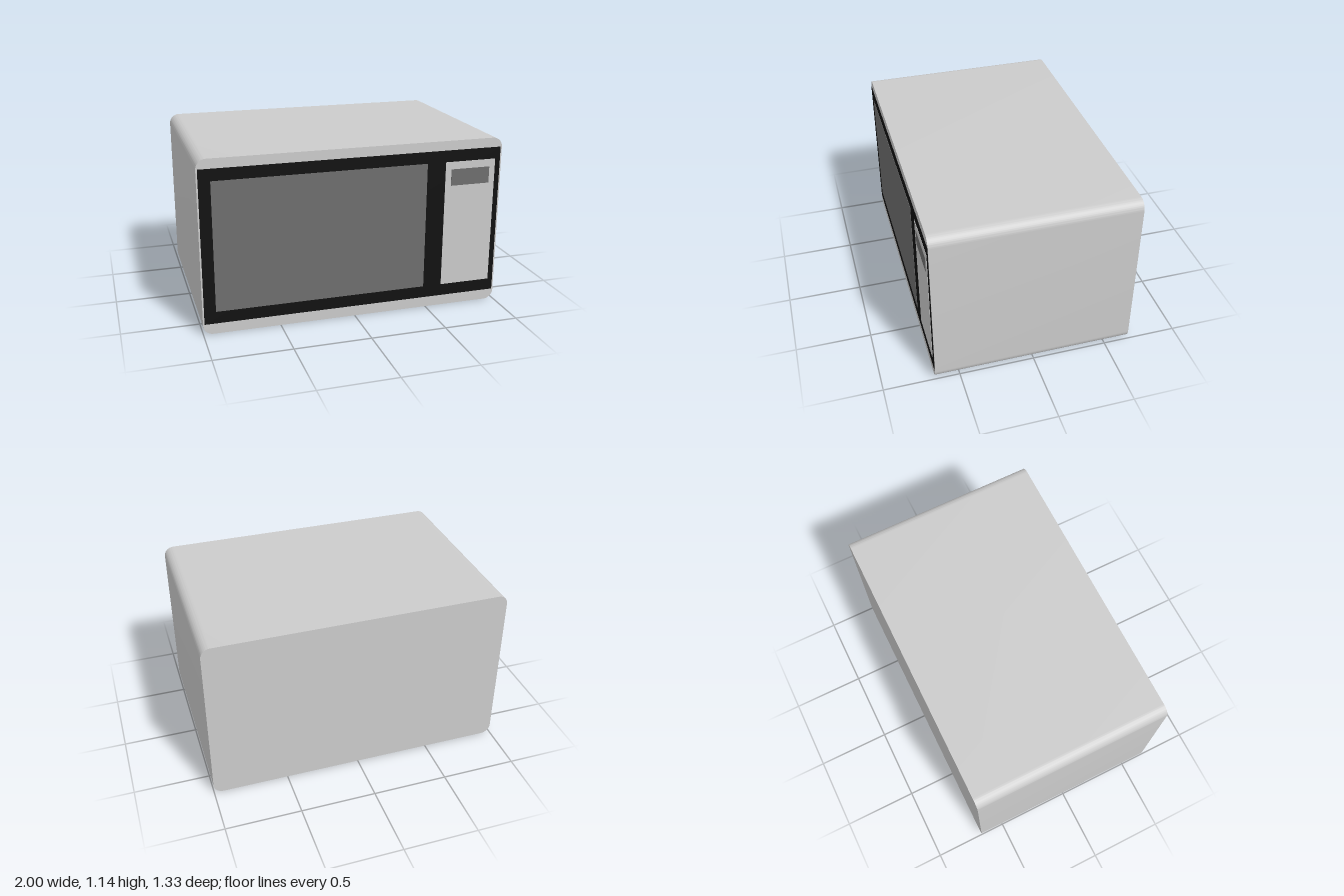
import * as THREE from 'three';
import { toCreasedNormals } from 'three/addons/utils/BufferGeometryUtils.js';

const WIDTH = 2, HEIGHT = 1.14, FRONT = 0.667, RADIUS = 0.065;
const LAYER = 0.002; // thickness of each front plate

const material = (color) => new THREE.MeshStandardMaterial({ color });

function roundedRect(w, h, r) {
  const x = w / 2, s = new THREE.Shape();
  s.absarc(x - r, r, r, -Math.PI / 2, 0);
  s.absarc(x - r, h - r, r, 0, Math.PI / 2);
  s.absarc(-x + r, h - r, r, Math.PI / 2, Math.PI);
  s.absarc(-x + r, r, r, Math.PI, Math.PI * 1.5);
  s.closePath();
  return s;
}

// Thin plate given by its edges, stacked on the front at the given layer
function plate(name, x0, x1, y0, y1, layer, mat) {
  const mesh = new THREE.Mesh(new THREE.BoxGeometry(x1 - x0, y1 - y0, LAYER), mat);
  mesh.position.set((x0 + x1) / 2, (y0 + y1) / 2, FRONT - LAYER * (3 - layer + 0.5));
  mesh.name = name;
  return mesh;
}

export function createModel() {
  const group = new THREE.Group();
  group.name = 'microwaveOven';
  const grey = material(0xcccccc), black = material(0x111111), glass = material(0x6e6e6e);

  // Casing with rounded long edges
  const depth = 2 * FRONT - 3 * LAYER;
  const casingGeometry = new THREE.ExtrudeGeometry(roundedRect(WIDTH, HEIGHT, RADIUS), {
    depth, bevelEnabled: false, curveSegments: 10,
  });
  casingGeometry.translate(0, 0, -FRONT);
  const casing = new THREE.Mesh(toCreasedNormals(casingGeometry, 0.6), grey);
  casing.name = 'casing';
  group.add(casing);

  // Front: dark fascia, door window, control panel and its display
  group.add(
    plate('frontFascia', -0.99, 0.99, 0.07, 1.077, 1, black),
    plate('doorWindow', -0.915, 0.48, 0.15, 1.0, 2, glass),
    plate('controlPanel', 0.607, 0.955, 0.15, 1.0, 2, grey),
    plate('display', 0.647, 0.915, 0.84, 0.95, 3, glass),
  );
  return group;
}
